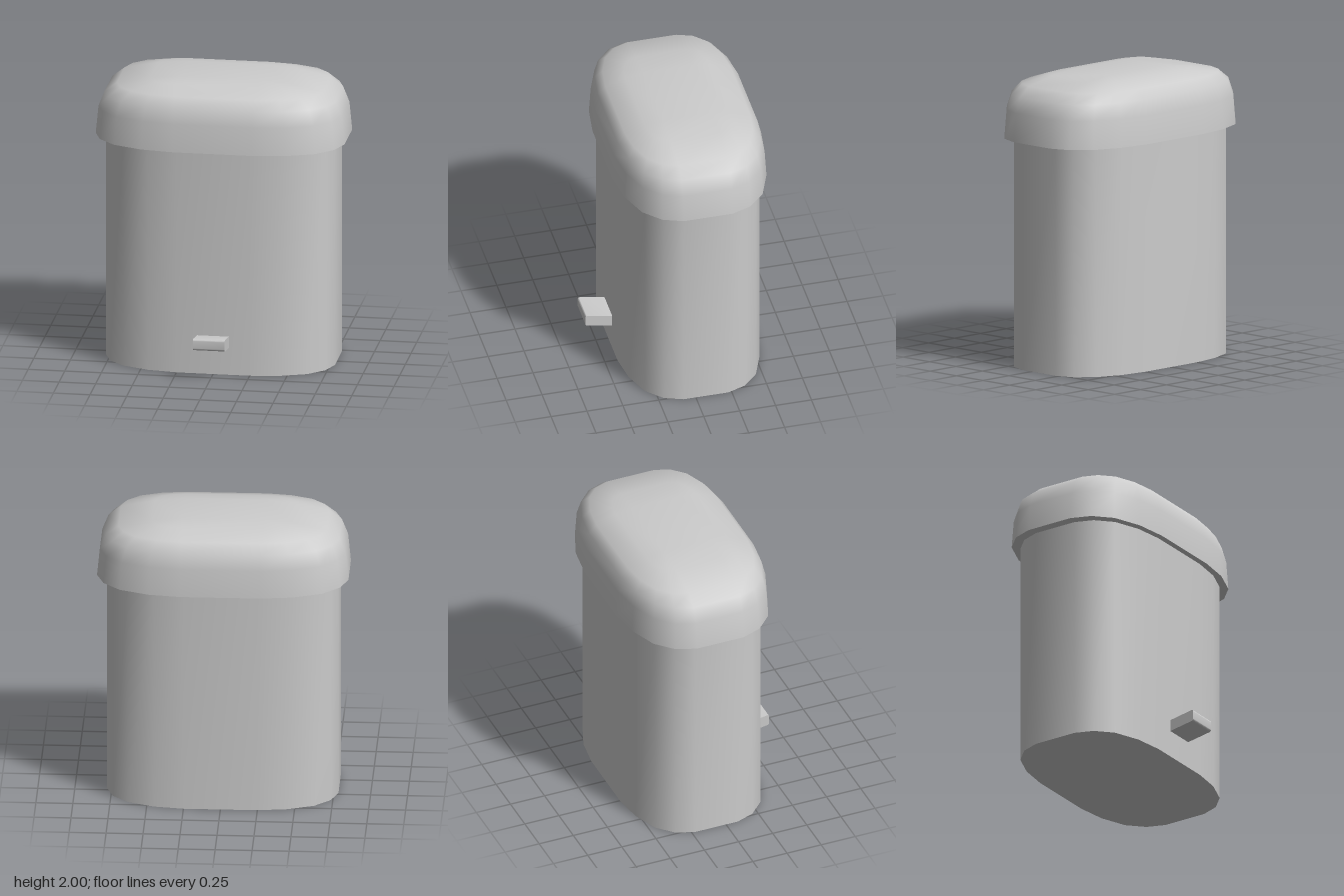
import * as THREE from 'three';
import { toCreasedNormals } from 'three/addons/utils/BufferGeometryUtils.js';

const material = new THREE.MeshStandardMaterial({ color: 0xcccccc, side: THREE.DoubleSide });
const CENTRE_Z = -0.07;

// Rounded-rectangle plan: a core rectangle plus a corner arc that can shrink to nothing
const CORE = [0.27, 0.17];
const ARC = [[0.58, 0], [0.53, 0.137], [0.415, 0.25], [0.22, 0.325], [0, 0.355]];

function outline(t, scale) {
  const quarter = ARC.map(([x, z]) => [scale * (CORE[0] + t * x), scale * (CORE[1] + t * z)]);
  const reversed = [...quarter].reverse();
  return [
    ...quarter,
    ...reversed.map(([x, z]) => [-x, z]),
    ...quarter.map(([x, z]) => [-x, -z]),
    ...reversed.map(([x, z]) => [x, -z]),
  ];
}

// Skin a stack of outlines, each given as [height, corner size, scale]
function loft(rings) {
  const positions = [], index = [], n = ARC.length * 4;
  rings.forEach(([y, t, scale], i) => {
    outline(t, scale).forEach(([x, z], j) => {
      positions.push(x, y, z + CENTRE_Z);
      if (i === rings.length - 1) return;
      const a = i * n + j, b = i * n + (j + 1) % n;
      index.push(a, a + n, b, b, a + n, b + n);
    });
  });
  const geometry = new THREE.BufferGeometry();
  geometry.setAttribute('position', new THREE.Float32BufferAttribute(positions, 3));
  geometry.setIndex(index);
  return toCreasedNormals(geometry, 1.0);
}

export function createModel() {
  const model = new THREE.Group();
  model.name = 'pedalBin';
  const add = (name, geometry) => {
    const mesh = new THREE.Mesh(geometry, material);
    mesh.name = name;
    model.add(mesh);
  };

  // Straight-sided bin body
  add('body', loft([[0, 1, 0], [0, 1, 0.92], [1.6, 1, 0.92], [1.6, 1, 0]]));

  // Domed lid, closed underneath and overhanging the body
  add('lid', loft([
    [1.57, 1, 0], [1.57, 1, 1], [1.765, 0.967, 1], [1.87, 0.895, 1],
    [1.935, 0.75, 1], [1.98, 0.36, 1], [2, 0, 1], [2, 0, 0],
  ]));

  // Foot pedal, tilted upward with a softened tip; drawn as (z, y)
  const side = new THREE.Shape();
  side.moveTo(0.34, 0.177);
  side.lineTo(0.585, 0.218);
  side.quadraticCurveTo(0.6, 0.221, 0.6, 0.235);
  side.lineTo(0.6, 0.285);
  side.quadraticCurveTo(0.6, 0.302, 0.582, 0.299);
  side.lineTo(0.34, 0.257);
  const pedal = new THREE.ExtrudeGeometry(side, { depth: 0.216, bevelEnabled: false, curveSegments: 4 });
  pedal.rotateY(-Math.PI / 2).translate(0.108, 0, 0);
  add('pedal', toCreasedNormals(pedal, 0.7));

  return model;
}
